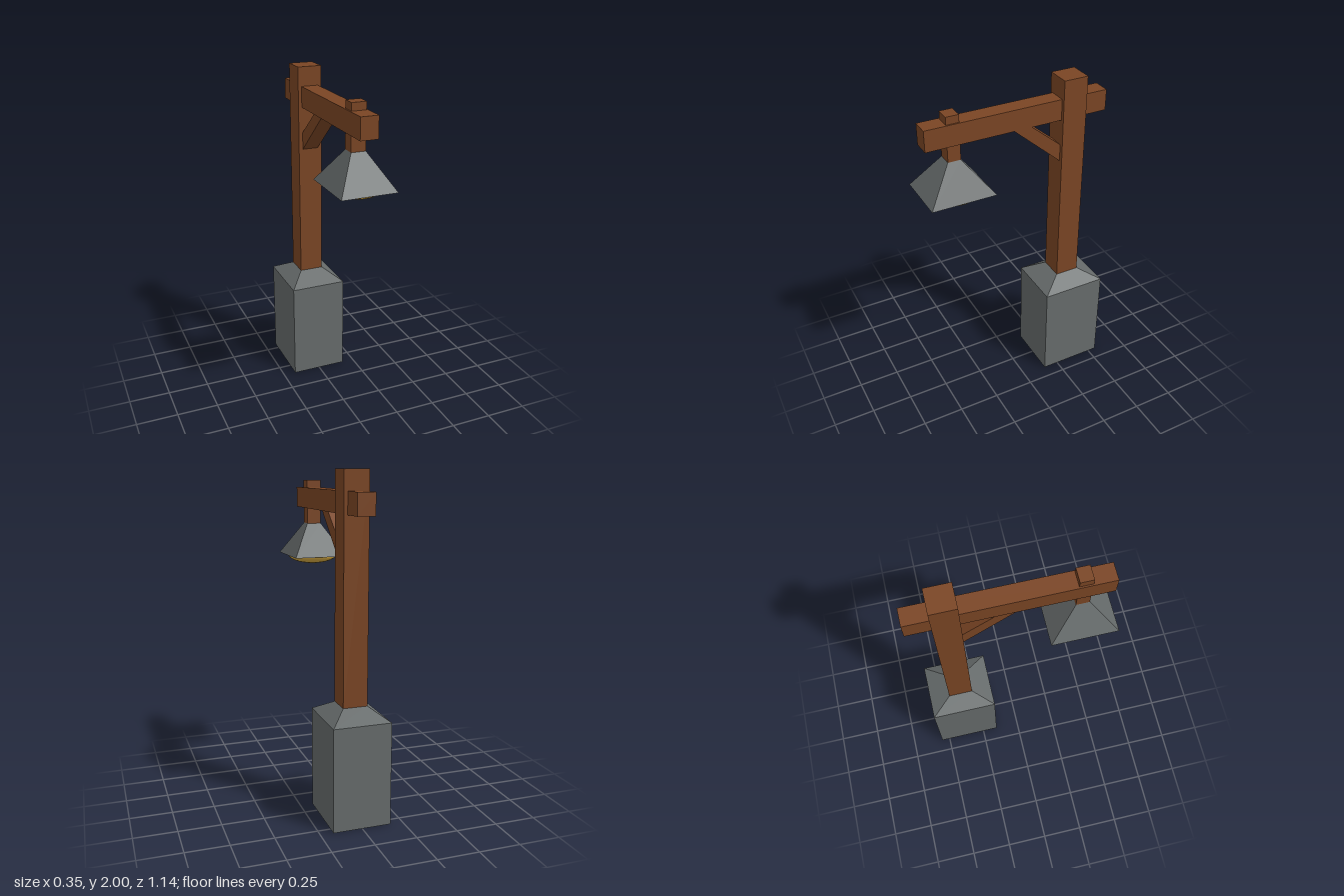
import * as THREE from 'three';

const POST_Z = -0.353, LAMP_Z = 0.375;

function mat(name, color, flatShading = true) {
  const m = new THREE.MeshStandardMaterial({ color, flatShading });
  m.name = name;
  return m;
}

// Loft through rectangles [y, halfX, halfZ], with both ends capped
function rectLoft(sections) {
  const pos = [];
  const rings = sections.map(([y, x, z]) => [[-x, y, z], [x, y, z], [x, y, -z], [-x, y, -z]]);
  const quad = (a, b, c, d) => pos.push(...a, ...b, ...c, ...a, ...c, ...d);
  for (let i = 0; i < rings.length - 1; i++) {
    const lo = rings[i], hi = rings[i + 1];
    for (let k = 0; k < 4; k++) {
      const n = (k + 1) % 4;
      quad(lo[k], lo[n], hi[n], hi[k]);
    }
  }
  const first = rings[0], last = rings[rings.length - 1];
  quad(first[3], first[2], first[1], first[0]);
  quad(last[0], last[1], last[2], last[3]);
  const g = new THREE.BufferGeometry();
  g.setAttribute('position', new THREE.Float32BufferAttribute(pos, 3));
  g.computeVertexNormals();
  return g;
}

export function createModel() {
  const group = new THREE.Group();
  const wood = mat('wood', 0x7a4524);
  const stone = mat('grey', 0x666b6b);
  const glow = mat('lamp yellow', 0xd9ac42, false);

  const add = (name, geometry, material, z = 0) => {
    const mesh = new THREE.Mesh(geometry, material);
    mesh.name = name;
    mesh.position.z = z;
    group.add(mesh);
    return mesh;
  };
  // Box spanning y0..y1 and z0..z1, centred on x
  const beam = (name, width, y0, y1, z0, z1) => {
    const mesh = add(name, new THREE.BoxGeometry(width, y1 - y0, z1 - z0), wood, (z0 + z1) / 2);
    mesh.position.y = (y0 + y1) / 2;
  };

  // Stone footing with sloped shoulders
  add('base', rectLoft([[0, 0.173, 0.2], [0.615, 0.173, 0.2], [0.685, 0.073, 0.074]]), stone, POST_Z);

  // Timber frame
  beam('post', 0.146, 0.68, 2, -0.427, -0.279);
  beam('crossbeam', 0.104, 1.76, 1.885, -0.57, 0.54);
  beam('hanger', 0.086, 1.655, 1.93, 0.336, 0.412);

  // Diagonal brace: profile in (z, y), extruded across x
  const profile = new THREE.Shape([
    [0.02, 1.762], [-0.09, 1.762], [-0.28, 1.605], [-0.28, 1.5],
  ].map(([z, y]) => new THREE.Vector2(-z, y)));
  const brace = new THREE.ExtrudeGeometry(profile, { depth: 0.098, bevelEnabled: false });
  brace.translate(0, 0, -0.049);
  brace.rotateY(Math.PI / 2);
  add('brace', brace, wood);

  // Hollow pyramid shade: inside, rim, then outside
  add('shade', rectLoft([
    [1.63, 0.035, 0.032], [1.465, 0.14, 0.167], [1.465, 0.165, 0.192], [1.665, 0.043, 0.038],
  ]), stone, LAMP_Z);

  // Flattened bulb
  const bulb = new THREE.SphereGeometry(1, 32, 16);
  bulb.scale(0.152, 0.053, 0.162);
  add('bulb', bulb, glow, LAMP_Z + 0.002).position.y = 1.465;

  return group;
}
